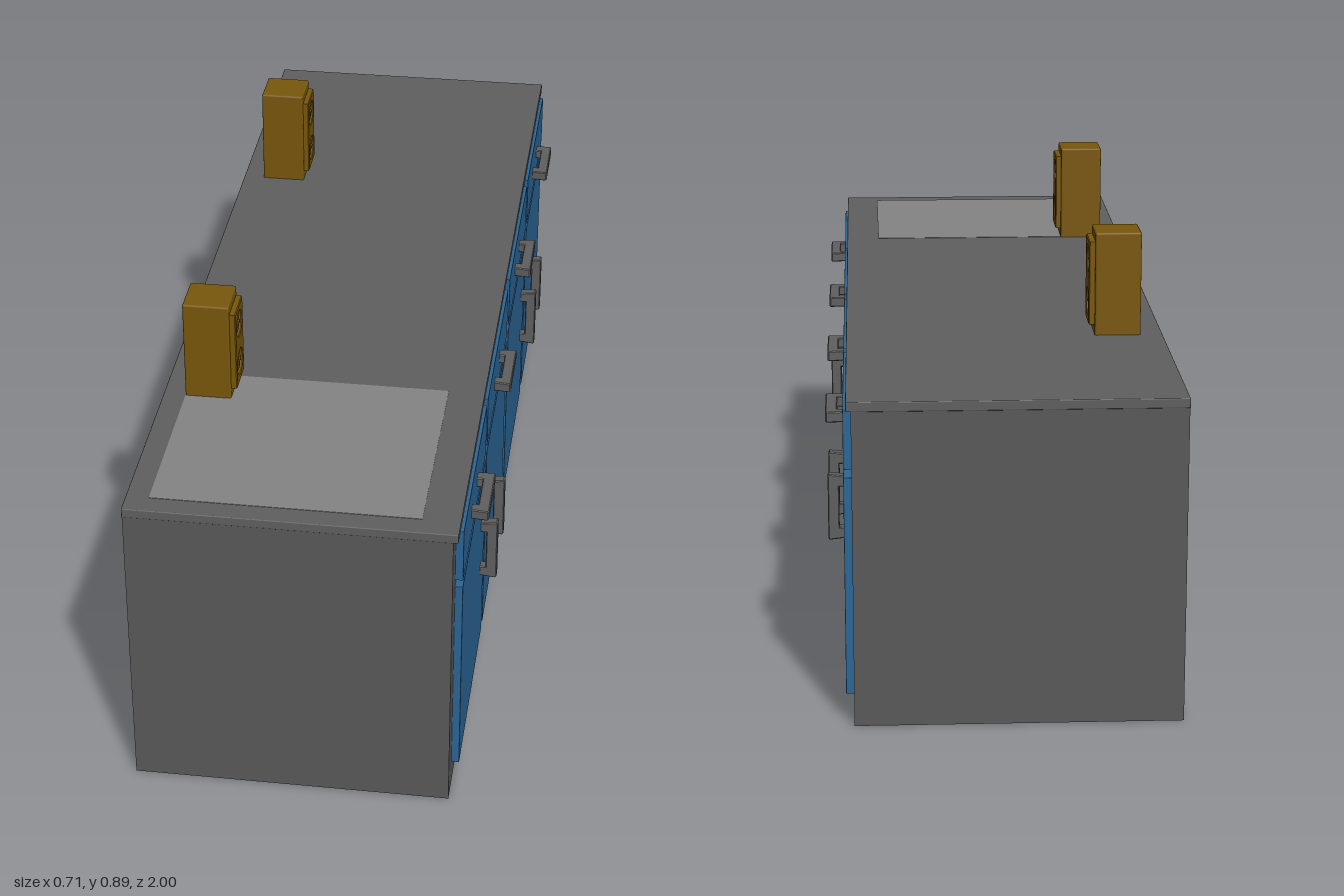
import * as THREE from 'three';
import { RoundedBoxGeometry } from 'three/addons/geometries/RoundedBoxGeometry.js';

const darkGrey = new THREE.MeshStandardMaterial({ color: 0x5a5a5a });
const midGrey = new THREE.MeshStandardMaterial({ color: 0x606060 });
const paleGrey = new THREE.MeshStandardMaterial({ color: 0x858585 });
const blue = new THREE.MeshStandardMaterial({ color: 0x2c6797 });
const ochre = new THREE.MeshStandardMaterial({ color: 0x7a580c });

function add(parent, name, geometry, material, x = 0, y = 0, z = 0) {
  const mesh = new THREE.Mesh(geometry, material);
  mesh.name = name;
  mesh.position.set(x, y, z);
  parent.add(mesh);
  return mesh;
}

// Box given by its lower and upper limits on each axis
function addBox(parent, name, material, [x0, x1], [y0, y1], [z0, z1], radius = 0) {
  const size = [x1 - x0, y1 - y0, z1 - z0];
  const geometry = radius
    ? new RoundedBoxGeometry(...size, 2, radius)
    : new THREE.BoxGeometry(...size);
  return add(parent, name, geometry, material, (x0 + x1) / 2, (y0 + y1) / 2, (z0 + z1) / 2);
}

// Upright U-shaped pull: two feet and a grip, reaching out along +x
function handleGeometry() {
  const h = 0.072, inner = 0.045, out = 0.038, gap = 0.014;
  const shape = new THREE.Shape([
    [0, -h + 0.004], [out - 0.003, -h], [out, -h + 0.004], [out, h - 0.004], [out - 0.003, h],
    [0, h - 0.004], [0, inner], [gap, inner], [gap, -inner], [0, -inner],
  ].map(([x, y]) => new THREE.Vector2(x, y)));
  const geometry = new THREE.ExtrudeGeometry(shape, {
    depth: 0.018, bevelThickness: 0.002, bevelSize: 0.002, bevelOffset: -0.002, bevelSegments: 1,
  });
  return geometry.translate(0, 0, -0.009);
}

// Power socket tower: rounded housing, bevelled face plate and two round sockets
function socketTower(z) {
  const tower = new THREE.Group();
  tower.name = 'socketTower';
  tower.position.set(0, 0.668, z);
  addBox(tower, 'towerHousing', ochre, [-0.31, -0.213], [-0.003, 0.22], [-0.0475, 0.0475], 0.004);

  const w = 0.039, h = 0.087;
  const plate = new THREE.Shape();
  plate.moveTo(-w, -h).lineTo(w, -h).lineTo(w, h).lineTo(-w, h).closePath();
  for (const y of [-0.046, 0.046]) {
    plate.holes.push(new THREE.Path().absarc(0, y, 0.03, 0, Math.PI * 2, true));
  }
  const plateGeometry = new THREE.ExtrudeGeometry(plate, {
    depth: 0.012, bevelThickness: 0.002, bevelSize: 0.002, bevelSegments: 1, curveSegments: 12,
  });
  add(tower, 'facePlate', plateGeometry, ochre, -0.214, 0.111, 0).rotation.y = Math.PI / 2;

  for (const y of [0.065, 0.157]) {
    // raised insert inside each round recess, with two contacts
    const insert = new THREE.CylinderGeometry(0.021, 0.021, 0.01, 20).rotateZ(Math.PI / 2);
    add(tower, 'socketInsert', insert, ochre, -0.209, y, 0);
    for (const s of [-1, 1]) {
      const contact = new THREE.CylinderGeometry(0.004, 0.004, 0.004, 10).rotateZ(Math.PI / 2);
      add(tower, 'socketContact', contact, ochre, -0.203, y, s * 0.01);
    }
  }
  return tower;
}

export function createModel() {
  const model = new THREE.Group();
  model.name = 'kitchenIsland';

  // Carcass, worktop with a small overhang above the doors, and a pale inlay at one end
  addBox(model, 'carcass', darkGrey, [-0.356, 0.301], [0, 0.65], [-0.999, 0.999]);
  addBox(model, 'worktop', midGrey, [-0.357, 0.311], [0.648, 0.668], [-1, 1], 0.002);
  addBox(model, 'worktopInlay', paleGrey, [-0.31, 0.235], [0.66, 0.669], [0.485, 0.955]);

  // Four bays: limits along z, door handle z
  const bays = [
    [0.49, 0.95, 0.555],
    [0.005, 0.465, 0.395],
    [-0.49, -0.04, -0.417],
    [-0.972, -0.522, -0.58],
  ];
  const pull = handleGeometry();
  for (const [z0, z1, handleZ] of bays) {
    addBox(model, 'door', blue, [0.299, 0.317], [0.058, 0.508], [z0, z1], 0.001);
    addBox(model, 'drawerFront', blue, [0.299, 0.317], [0.524, 0.643], [z0, z1], 0.001);
    add(model, 'doorHandle', pull, midGrey, 0.315, 0.325, handleZ);
    const drawerHandle = add(model, 'drawerHandle', pull, midGrey, 0.315, 0.582, (z0 + z1) / 2 + 0.015);
    drawerHandle.rotation.x = Math.PI / 2;
  }

  for (const z of [0.528, -0.452]) model.add(socketTower(z));
  return model;
}
